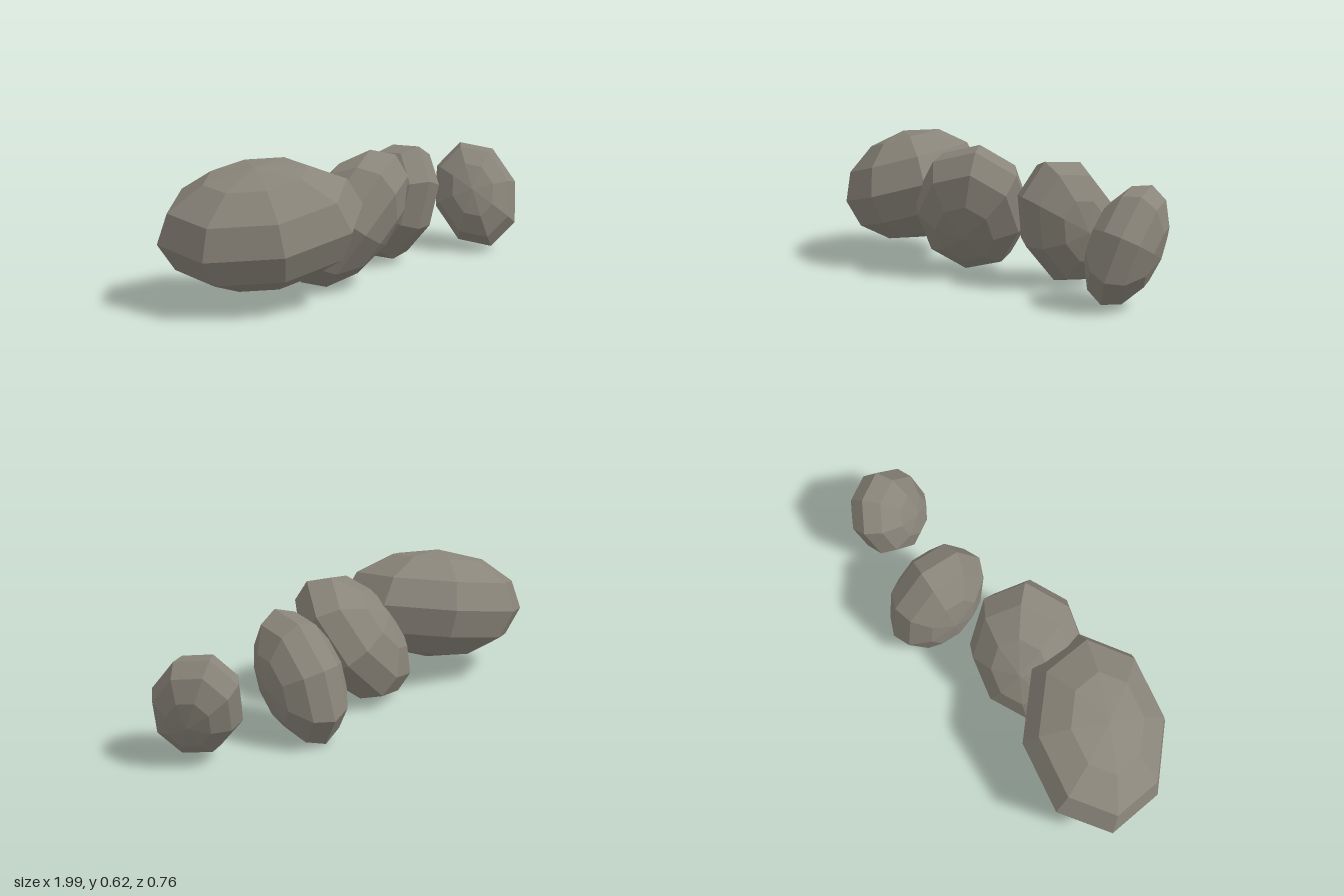
import * as THREE from 'three';

// Each stone is a faceted ball (8 sides, 6 bands) stretched along three tilted half-axes.
const STONES = [
  { name: 'largeStone', centre: [-0.62, 0.355, -0.005],
    long: [0.367, 0.06, 0.253], short: [-0.055, 0.253, 0.015], middle: [-0.168, -0.074, 0.281] },
  { name: 'mediumStone', centre: [-0.13, 0.304, 0.065],
    long: [0.165, 0.281, 0.135], short: [-0.089, 0.115, -0.143], middle: [-0.213, 0.04, 0.161] },
  { name: 'smallStone', centre: [0.35, 0.286, -0.055],
    long: [0.005, 0.279, 0.145], short: [0.172, -0.023, 0.039], middle: [0.057, 0.094, -0.195] },
  { name: 'smallestStone', centre: [0.826, 0.267, 0.088],
    long: [0.032, 0.239, -0.118], short: [0.128, -0.051, -0.069], middle: [0.11, 0.063, 0.158] },
];

function makeStone({ name, centre, long, short, middle }, material) {
  const [u, p, w] = [long, short, middle].map((a) => new THREE.Vector3(...a));
  // Keep the basis right-handed so the faces point outwards
  if (u.clone().cross(p).dot(w) < 0) w.negate();
  const geometry = new THREE.SphereGeometry(1, 8, 6);
  geometry.applyMatrix4(new THREE.Matrix4().makeBasis(u, p, w).setPosition(...centre));
  const stone = new THREE.Mesh(geometry, material);
  stone.name = name;
  return stone;
}

export function createModel() {
  const group = new THREE.Group();
  group.name = 'stoneRow';
  const rock = new THREE.MeshStandardMaterial({ color: 0x8a857a, flatShading: true });
  for (const stone of STONES) group.add(makeStone(stone, rock));
  return group;
}
